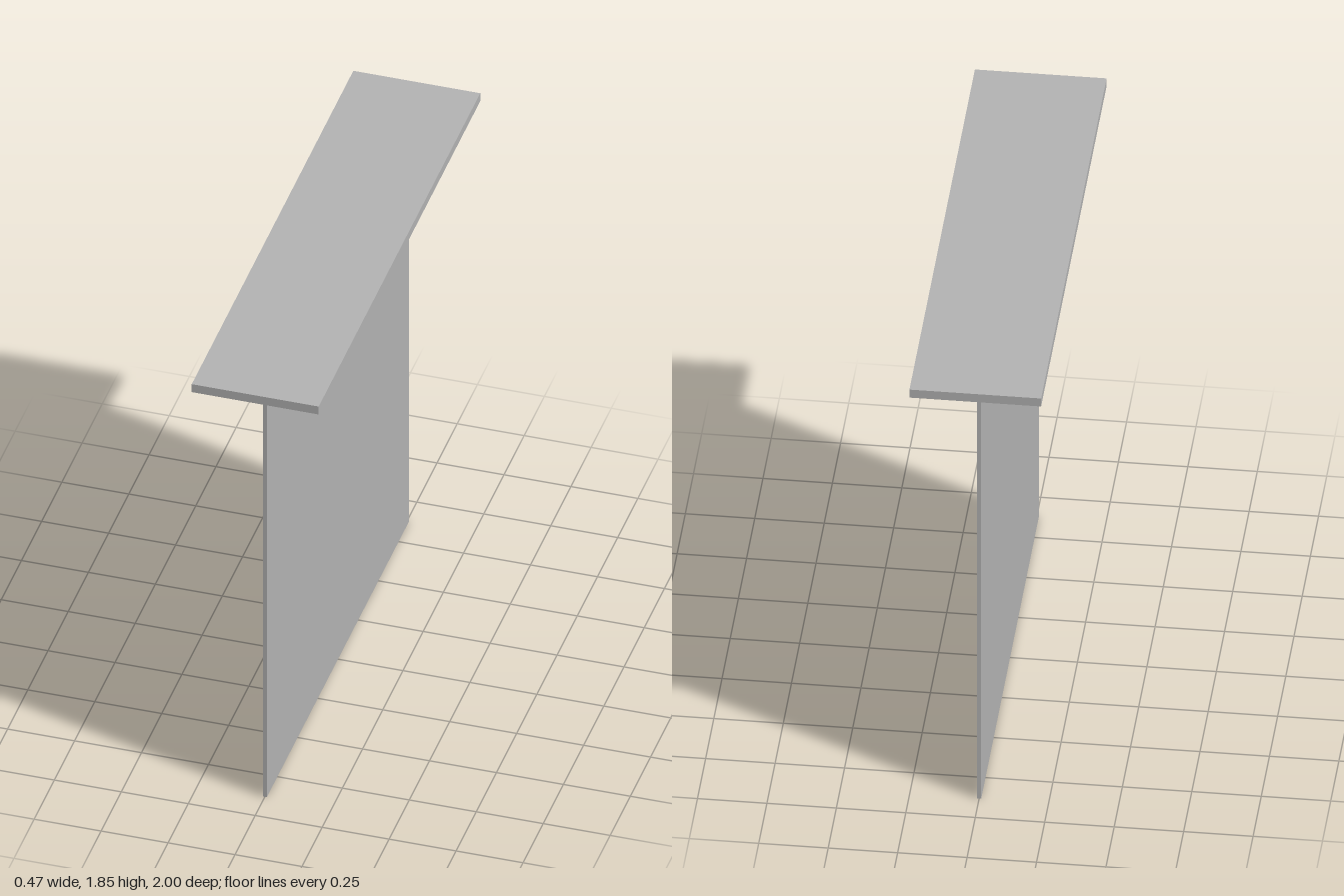
import * as THREE from 'three';

export function createModel() {
  const group = new THREE.Group();
  const grey = new THREE.MeshStandardMaterial({ color: 0xb3b3b3 });
  grey.name = 'grey';

  // Box given by its extents in x and y, centred on z
  const slab = (name, x0, x1, y0, y1, depth) => {
    const mesh = new THREE.Mesh(new THREE.BoxGeometry(x1 - x0, y1 - y0, depth), grey);
    mesh.position.set((x0 + x1) / 2, (y0 + y1) / 2, 0);
    mesh.name = name;
    group.add(mesh);
  };

  // Wide cap on top
  slab('topBoard', -0.237, 0.237, 1.817, 1.852, 2);
  // Thin upright sheet
  slab('uprightPanel', -0.0075, 0.0075, 0, 1.817, 1.762);
  // Mounting lip folded to one side under the cap
  slab('mountingFlange', 0.0075, 0.148, 1.799, 1.817, 1.762);

  return group;
}
